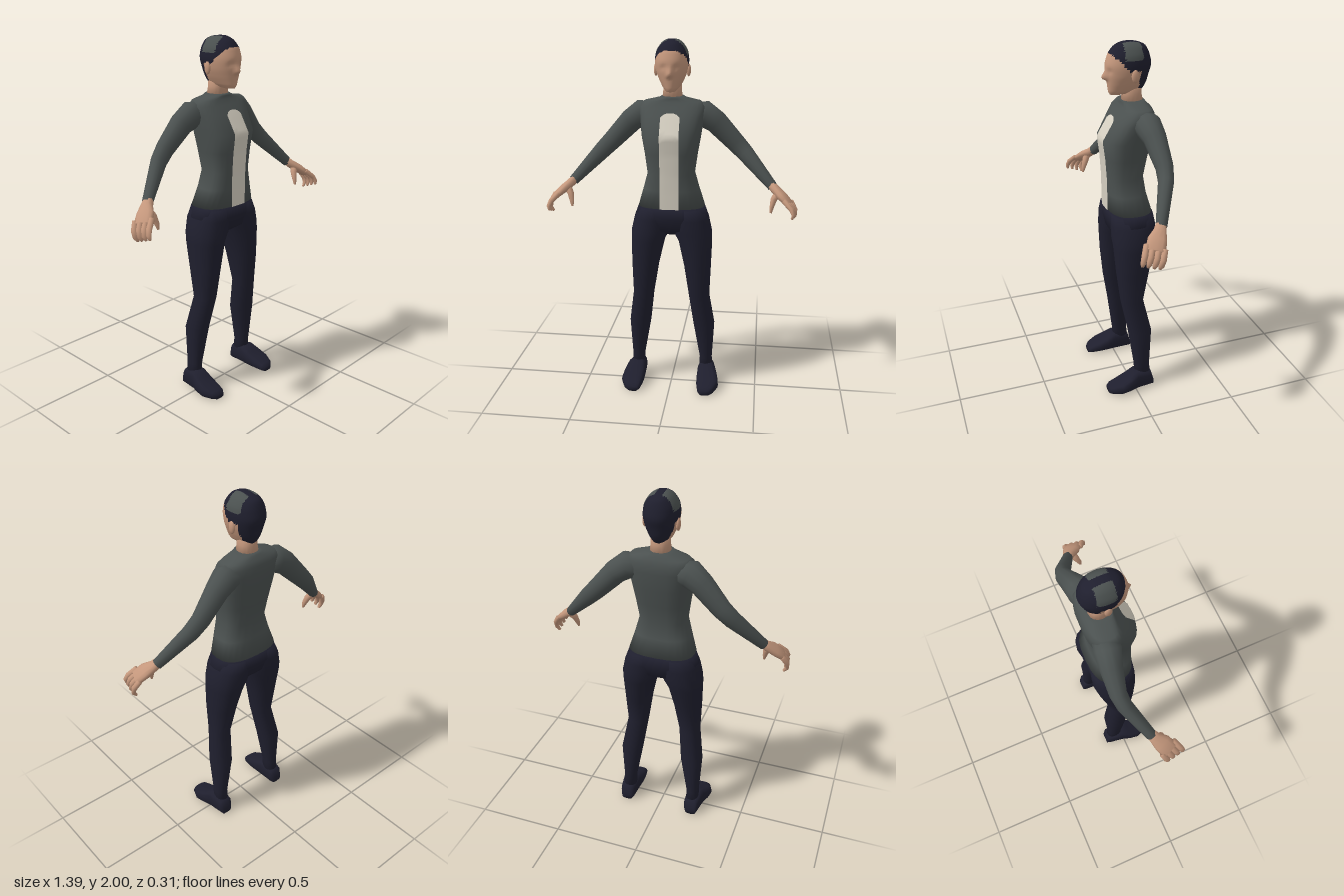
import * as THREE from 'three';

const V = (x, y, z) => new THREE.Vector3(x, y, z);
const mat = (name, color) => {
  const m = new THREE.MeshStandardMaterial({ color });
  m.name = name;
  return m;
};

// Superellipse ring: centre c, half axes u and v, exponent n
function ring(c, u, v, n, segs) {
  const p = (a) => Math.sign(a) * Math.abs(a) ** (2 / n);
  return Array.from({ length: segs }, (_, i) => {
    const t = (i / segs) * Math.PI * 2;
    return c.clone().addScaledVector(u, p(Math.cos(t))).addScaledVector(v, p(Math.sin(t)));
  });
}

// Level ring from left/right and front/back limits
const levelRing = (y, x0, x1, zf, zb, n = 2.2, segs = 16) =>
  ring(V((x0 + x1) / 2, y, (zf + zb) / 2), V((x1 - x0) / 2, 0, 0), V(0, 0, -(zf - zb) / 2), n, segs);

// Skin a list of rings into a closed, smooth solid
function loft(rings) {
  const n = rings[0].length;
  const pts = rings.flat();
  const index = [];
  for (let i = 0; i < rings.length - 1; i++) {
    for (let j = 0; j < n; j++) {
      const a = i * n + j, b = i * n + ((j + 1) % n);
      index.push(a, b, b + n, a, b + n, a + n);
    }
  }
  const last = rings.length - 1;
  for (const k of [0, last]) {
    const c = pts.length;
    pts.push(rings[k].reduce((s, p) => s.add(p), V(0, 0, 0)).divideScalar(n));
    for (let j = 0; j < n; j++) {
      const a = k * n + j, b = k * n + ((j + 1) % n);
      if (k === 0) index.push(c, b, a);
      else index.push(c, a, b);
    }
  }
  const g = new THREE.BufferGeometry().setFromPoints(pts);
  g.setIndex(index);
  g.computeVertexNormals();
  return g;
}

// Limb along a path of [x, y, z, radius along ref, radius across]
function limb(path, ref, segs = 12, n = 2) {
  const c = path.map((p) => V(p[0], p[1], p[2]));
  return loft(path.map((p, i) => {
    const d = c[Math.min(i + 1, c.length - 1)].clone().sub(c[Math.max(i - 1, 0)]).normalize();
    const u = ref.clone().addScaledVector(d, -ref.dot(d)).normalize();
    const v = d.clone().cross(u);
    return ring(c[i], u.multiplyScalar(p[3]), v.multiplyScalar(p[4]), n, segs);
  }));
}

function mirrored(geo) {
  const g = geo.clone().scale(-1, 1, 1);
  const a = g.index.array;
  for (let i = 0; i < a.length; i += 3) [a[i + 1], a[i + 2]] = [a[i + 2], a[i + 1]];
  g.computeVertexNormals();
  return g;
}

// Torso levels: [y, half width, front z, back z]
const TORSO = [
  [1.1, 0.185, 0.1, -0.14], [1.2, 0.155, 0.102, -0.112], [1.29, 0.13, 0.105, -0.1],
  [1.4, 0.145, 0.112, -0.12], [1.5, 0.162, 0.125, -0.14], [1.6, 0.175, 0.065, -0.152],
  [1.645, 0.18, 0.035, -0.147], [1.672, 0.155, 0.015, -0.135], [1.69, 0.075, 0.012, -0.118],
  [1.7, 0.06, 0.01, -0.112],
];
const TORSO_N = 2.7;

function torsoFront(x, y) {
  const i = Math.max(0, TORSO.findIndex((r) => r[0] > y) - 1);
  const f = (y - TORSO[i][0]) / (TORSO[i + 1][0] - TORSO[i][0]);
  const [, w, zf, zb] = TORSO[i].map((a, k) => a + (TORSO[i + 1][k] - a) * f);
  return (zf + zb) / 2 + ((zf - zb) / 2) * (1 - Math.abs(x / w) ** TORSO_N) ** (1 / TORSO_N);
}

// Head surface split by region into skin, hair and hair patches
function headParts() {
  const levels = [
    [1.732, 0.022, 0.068, 0.0], [1.75, 0.044, 0.078, -0.1], [1.79, 0.066, 0.083, -0.125],
    [1.835, 0.083, 0.088, -0.137], [1.885, 0.09, 0.092, -0.15], [1.935, 0.084, 0.078, -0.14],
    [1.975, 0.06, 0.05, -0.12], [1.994, 0.035, 0.015, -0.08], [2.0, 0.01, -0.01, -0.035],
  ];
  const size = new THREE.CatmullRomCurve3(levels.map((l) => V(l[1], l[2], l[3])));
  const rise = new THREE.SplineCurve(levels.map((l) => new THREE.Vector2(l[0], 0)));
  const rings = [];
  for (let i = 0; i <= 40; i++) {
    const s = size.getPoint(i / 40);
    rings.push(levelRing(Math.min(2, rise.getPoint(i / 40).x), -s.x, s.x, s.y, s.z, 2.15, 48));
  }
  // Nose and eye sockets
  for (const p of rings.flat()) {
    if (p.z < 0.03) continue;
    const dy = p.y - 1.822;
    p.z += 0.028 * Math.exp(-((p.x / 0.014) ** 2) - (dy / (dy > 0 ? 0.03 : 0.012)) ** 2);
    p.z -= 0.007 * Math.exp(-(((Math.abs(p.x) - 0.035) / 0.016) ** 2) - ((p.y - 1.86) / 0.014) ** 2);
  }
  const whole = loft(rings);
  const pos = whole.attributes.position;
  const ix = whole.index.array;
  const parts = { face: [], hair: [], hairPatch: [] };
  for (let i = 0; i < ix.length; i += 3) {
    const t = [ix[i], ix[i + 1], ix[i + 2]];
    const m = V(0, 0, 0);
    t.forEach((k) => m.add(V(pos.getX(k), pos.getY(k), pos.getZ(k)).divideScalar(3)));
    const line = m.z > -0.015 ? 1.86 + (m.z + 0.015) : m.z > -0.07 ? 1.86 : 1.752;
    const patch = m.y > 1.915 && m.z < 0.01 && m.z > -0.085 && Math.abs(m.x) > 0.02;
    parts[m.y < line ? 'face' : patch ? 'hairPatch' : 'hair'].push(...t);
  }
  return Object.entries(parts).map(([name, index]) => {
    const g = new THREE.BufferGeometry();
    g.setAttribute('position', pos);
    g.setAttribute('normal', whole.attributes.normal);
    g.setIndex(index);
    return [name, g];
  });
}

export function createModel() {
  const skin = mat('skin', 0xc4977c);
  const shirt = mat('greyCloth', 0x4b5150);
  const cream = mat('creamPanel', 0xd6d0c2);
  const navy = mat('navy', 0x1f1f2e);
  cream.side = THREE.DoubleSide;
  const model = new THREE.Group();
  const add = (name, geo, material) => {
    const m = new THREE.Mesh(geo, material);
    m.name = name;
    model.add(m);
  };
  const pair = (name, geo, material) => {
    add(name + 'Left', geo, material);
    add(name + 'Right', mirrored(geo), material);
  };

  // Torso with front panel
  add('torso', loft(TORSO.map(([y, w, zf, zb]) => levelRing(y, -w, w, zf, zb, TORSO_N, 24))), shirt);
  const panel = new THREE.PlaneGeometry(0.104, 1, 6, 26);
  const pp = panel.attributes.position;
  for (let i = 0; i < pp.count; i++) {
    const x = pp.getX(i);
    const top = 1.62 - 0.022 * (Math.abs(x) / 0.052) ** 3;
    const y = 1.1 + (pp.getY(i) + 0.5) * (top - 1.1);
    pp.setXYZ(i, x, y, torsoFront(x, y) + 0.005);
  }
  panel.computeVertexNormals();
  add('frontPanel', panel, cream);

  // Sleeves
  pair('sleeve', limb([
    [0.1, 1.605, -0.07, 0.06, 0.06], [0.17, 1.6, -0.078, 0.074, 0.072], [0.235, 1.555, -0.09, 0.064, 0.06],
    [0.345, 1.44, -0.1, 0.053, 0.045], [0.4, 1.385, -0.088, 0.048, 0.041], [0.555, 1.222, -0.004, 0.028, 0.029],
  ], V(0.6, 0.8, 0)), shirt);

  // Hands
  const across = V(-0.35, 0.2, 0.85);
  pair('palm', limb([
    [0.54, 1.238, -0.01, 0.024, 0.024], [0.57, 1.21, 0.008, 0.032, 0.024],
    [0.605, 1.182, 0.035, 0.048, 0.024], [0.648, 1.145, 0.062, 0.05, 0.017],
  ], across, 12, 2.3), skin);
  for (let i = 0; i < 4; i++) {
    const k = -1 + (i * 2) / 3;
    pair('finger' + (i + 1), limb([
      [0.635 - 0.02 * k, 1.16 + 0.01 * k, 0.055 + 0.04 * k, 0.015, 0.015],
      [0.668 - 0.012 * k, 1.12 + 0.012 * k, 0.076 + 0.043 * k, 0.016, 0.014],
      [0.674 - 0.006 * k, 1.09 + 0.014 * k, 0.086 + 0.044 * k, 0.014, 0.011],
      [0.663, 1.068 + 0.014 * k, 0.088 + 0.045 * k, 0.008, 0.006],
    ], across, 8), skin);
  }
  pair('thumb', limb([
    [0.585, 1.195, 0.025, 0.022, 0.022], [0.562, 1.16, 0.045, 0.019, 0.018],
    [0.553, 1.12, 0.06, 0.014, 0.012], [0.55, 1.092, 0.066, 0.007, 0.006],
  ], across, 8), skin);

  // Hips and legs
  add('hips', loft([
    [0.935, 0.06, 0.03, -0.07], [0.97, 0.17, 0.085, -0.125], [1.04, 0.207, 0.1, -0.144], [1.1, 0.185, 0.1, -0.14],
  ].map(([y, w, zf, zb]) => levelRing(y, -w, w, zf, zb, 2.5, 24))), navy);
  pair('leg', loft([
    [0.08, 0.165, 0.24, -0.005, -0.1], [0.15, 0.166, 0.238, -0.002, -0.094], [0.38, 0.125, 0.25, 0.03, -0.106],
    [0.575, 0.1, 0.22, 0.066, -0.064], [0.75, 0.072, 0.226, 0.086, -0.1], [0.9, 0.038, 0.23, 0.096, -0.133],
    [0.95, 0.008, 0.229, 0.1, -0.142], [1.03, 0, 0.211, 0.1, -0.146], [1.09, 0, 0.182, 0.095, -0.138],
  ].map((r) => levelRing(...r))), navy);

  // Shoes, from heel to toe: [z, inner x, outer x, height]
  pair('shoe', loft([
    [-0.115, 0.175, 0.24, 0.04], [-0.098, 0.162, 0.25, 0.1], [-0.01, 0.156, 0.265, 0.12],
    [0.04, 0.155, 0.28, 0.09], [0.09, 0.158, 0.286, 0.066], [0.145, 0.168, 0.262, 0.046], [0.163, 0.18, 0.24, 0.03],
  ].map(([z, x0, x1, h]) => ring(V((x0 + x1) / 2, h / 2, z), V((x1 - x0) / 2, 0, 0), V(0, h / 2, 0), 3, 16))), navy);

  // Neck, head and ears
  add('neck', loft([
    [1.68, 0.057, 0.008, -0.11], [1.735, 0.05, 0.0, -0.1], [1.79, 0.05, 0.01, -0.1],
  ].map(([y, w, zf, zb]) => levelRing(y, -w, w, zf, zb))), skin);
  const headColours = { face: skin, hair: navy, hairPatch: shirt };
  for (const [name, geo] of headParts()) add(name, geo, headColours[name]);
  pair('ear', new THREE.SphereGeometry(1, 10, 8).scale(0.012, 0.034, 0.02).translate(0.088, 1.838, -0.038), skin);

  return model;
}
